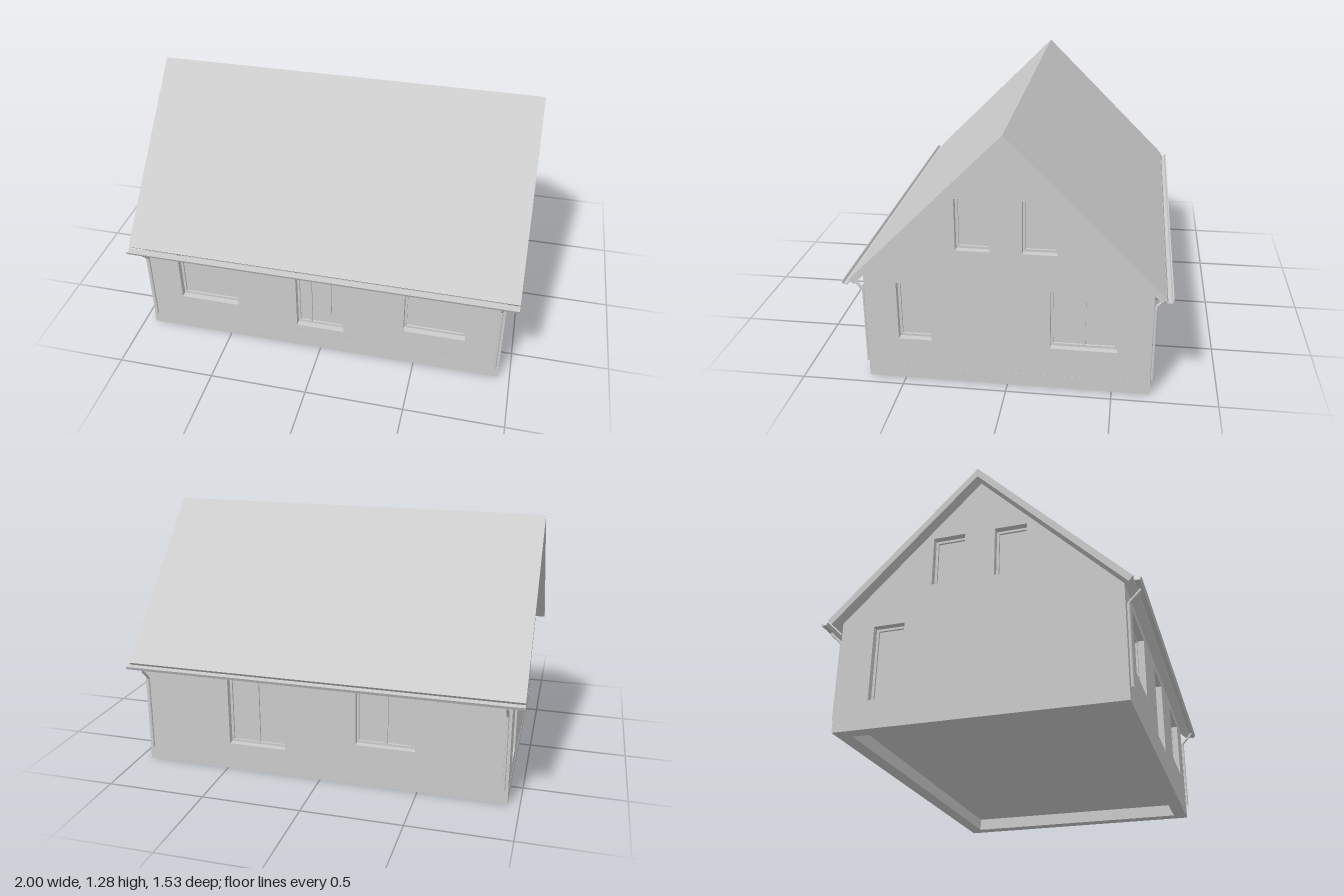
import * as THREE from 'three';

const material = new THREE.MeshStandardMaterial({ color: 0xcccccc, flatShading: true, side: THREE.DoubleSide });
const HX = 0.94, HZ = 0.68;        // half size of the house body
const THICK = 0.07, PLINTH = 0.065, EAVE = 0.555, RIDGE = 1.235;

function add(parent, name, geometry, x = 0, y = 0, z = 0) {
  const mesh = new THREE.Mesh(geometry, material);
  mesh.name = name;
  mesh.position.set(x, y, z);
  parent.add(mesh);
  return mesh;
}

function box(parent, name, w, h, d, x, y, z) {
  return add(parent, name, new THREE.BoxGeometry(w, h, d), x, y, z);
}

const outline = (pts) => new THREE.Shape(pts.map(([a, b]) => new THREE.Vector2(a, b)));

// Sweeps a (z, y) profile along x, centred on x = 0
function alongX(pts, length) {
  const g = new THREE.ExtrudeGeometry(outline(pts), { depth: length, bevelEnabled: false });
  return g.translate(0, 0, -length / 2).rotateY(-Math.PI / 2);
}

// Recessed pane with a slim frame; sashes splits it, door adds a handle
function fillOpening(parent, { a, b, bottom, top, sashes = 1, door = false }) {
  const unit = new THREE.Group();
  unit.name = door ? 'door' : 'window';
  const w = b - a, h = top - bottom, f = 0.012;
  unit.position.set((a + b) / 2, (bottom + top) / 2, 0);
  box(unit, 'pane', w, h, 0.02, 0, 0, -0.052);
  for (const s of [-1, 1]) {
    box(unit, 'frameSide', f, h, 0.012, s * (w - f) / 2, 0, -0.038);
    box(unit, 'frameRail', w - 2 * f, f, 0.012, 0, s * (h - f) / 2, -0.038);
  }
  if (sashes === 2) box(unit, 'mullion', f, h - 2 * f, 0.012, 0, 0, -0.038);
  if (door) {
    box(unit, 'doorPost', f, h - 2 * f, 0.012, -w * 0.22, 0, -0.038);
    box(unit, 'doorHandle', 0.008, h * 0.6, 0.012, w * 0.2, 0, -0.036);
  }
  parent.add(unit);
}

// Wall drawn facing +z with its outer face at z = 0
function wall(name, points, openings) {
  const group = new THREE.Group();
  group.name = name;
  const shape = outline(points);
  for (const { a, b, bottom, top } of openings) {
    shape.holes.push(new THREE.Path([[a, bottom], [a, top], [b, top], [b, bottom]].map(([x, y]) => new THREE.Vector2(x, y))));
  }
  const g = new THREE.ExtrudeGeometry(shape, { depth: THICK, bevelEnabled: false });
  add(group, name + 'Panel', g.translate(0, 0, -THICK));
  openings.forEach((o) => fillOpening(group, o));
  return group;
}

const opening = (a, b, bottom = 0.215, extra = {}) => ({ a, b, bottom, top: 0.515, ...extra });
const attic = [-1, 1].map((s) => {
  const c = s * 0.155;
  return { a: c - 0.08, b: c + 0.08, bottom: 0.70, top: 0.955 };
});

export function createModel() {
  const house = new THREE.Group();
  house.name = 'house';

  // Foundation ring and raised floor slab
  const px = HX + 0.001, pz = HZ + 0.001;
  for (const s of [-1, 1]) {
    box(house, 'plinthLong', 2 * px, PLINTH, THICK, 0, PLINTH / 2, s * (pz - THICK / 2));
    box(house, 'plinthShort', THICK, PLINTH, 2 * (pz - THICK), s * (px - THICK / 2), PLINTH / 2, 0);
  }
  box(house, 'floorSlab', 2 * (HX - 0.04), 0.03, 2 * (HZ - 0.04), 0, PLINTH + 0.015, 0);

  // Long walls sit between the gable walls
  const L = HX - THICK;
  const longSide = [[-L, PLINTH], [L, PLINTH], [L, EAVE], [-L, EAVE]];
  const gable = [[-HZ, PLINTH], [HZ, PLINTH], [HZ, EAVE], [0, RIDGE], [-HZ, EAVE]];

  const front = wall('frontWall', longSide, [
    opening(-0.76, -0.445), opening(-0.125, 0.125, 0.14, { door: true }), opening(0.44, 0.755),
  ]);
  front.position.z = HZ;

  const back = wall('backWall', longSide, [
    opening(-0.485, -0.185, 0.14, { sashes: 2 }), opening(0.185, 0.485, 0.215, { sashes: 2 }),
  ]);
  back.position.z = -HZ;
  back.rotation.y = Math.PI;

  const left = wall('leftGable', gable, [
    opening(-0.525, -0.365), opening(0.205, 0.52, 0.215, { sashes: 2 }), ...attic,
  ]);
  left.position.x = HX;
  left.rotation.y = Math.PI / 2;

  const right = wall('rightGable', gable, [opening(-0.515, -0.36, 0.14), ...attic]);
  right.position.x = -HX;
  right.rotation.y = -Math.PI / 2;
  house.add(front, back, left, right);

  // Roof slab, square-cut at the eaves
  add(house, 'roof', alongX([
    [0, 1.28], [-0.73, 0.55], [-0.7075, 0.5275], [0, RIDGE], [0.7075, 0.5275], [0.73, 0.55],
  ], 2));

  // Gutters and downpipes on both eaves
  for (const s of [-1, 1]) {
    const profile = [
      [0.765, 0.54], [0.76, 0.54], [0.754, 0.529], [0.738, 0.529],
      [0.732, 0.54], [0.727, 0.54], [0.735, 0.525], [0.758, 0.525],
    ].map(([z, y]) => [s * z, y]);
    add(house, 'gutter', alongX(profile, 2));
    for (const x of [-0.92, 0.92]) {
      const path = new THREE.CatmullRomCurve3([
        [0.747, 0.528], [0.745, 0.52], [0.738, 0.511], [0.698, 0.471], [0.691, 0.46], [0.69, 0.448], [0.69, 0.07],
      ].map(([z, y]) => new THREE.Vector3(x, y, s * z)), false, 'catmullrom', 0.1);
      add(house, 'downpipe', new THREE.TubeGeometry(path, 48, 0.007, 10));
    }
  }
  return house;
}
